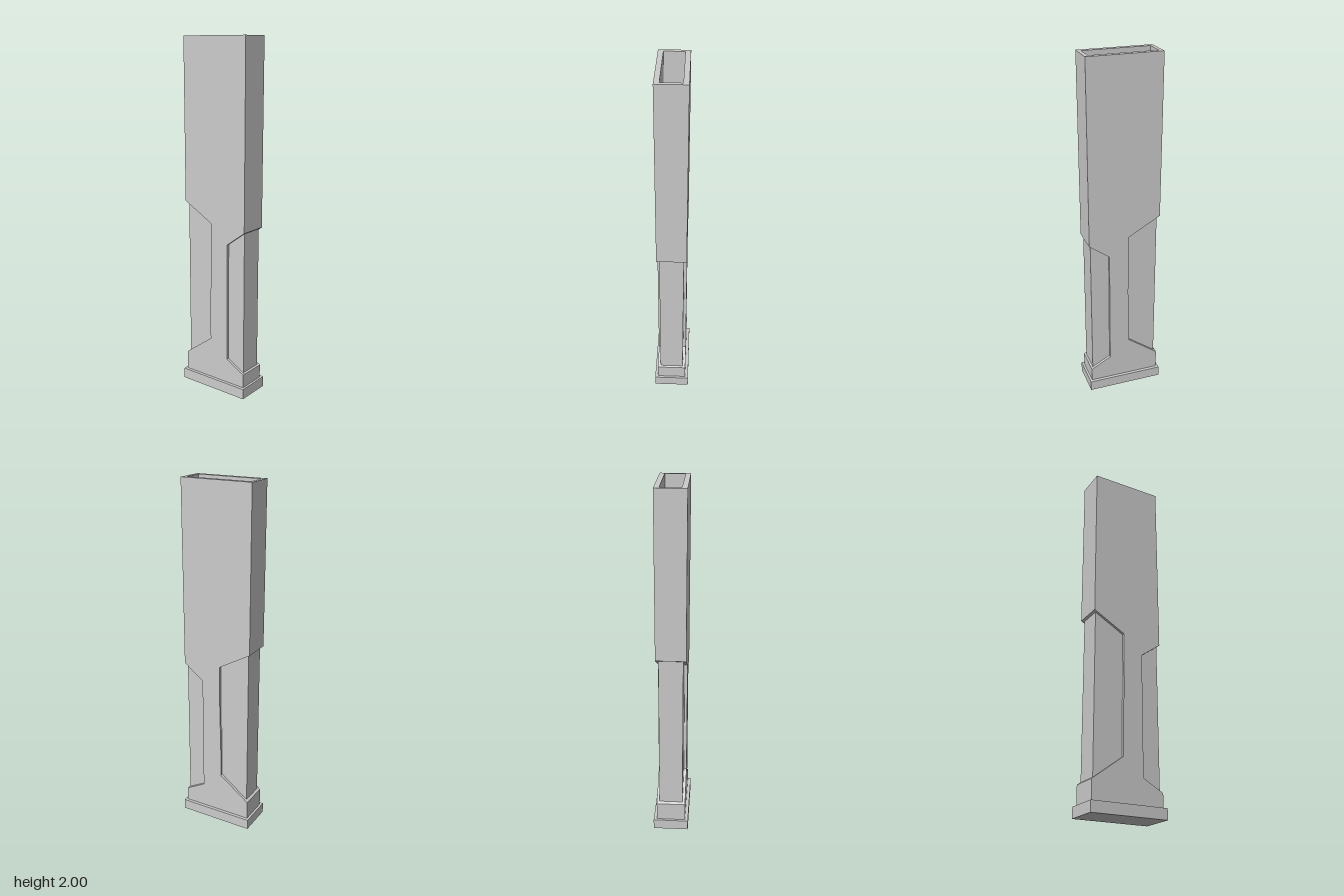
import * as THREE from 'three';

const material = new THREE.MeshStandardMaterial({ color: 0xcccccc, flatShading: true });

// Extrudes a (z, y) outline along x, from x0 to x1
function slab(name, points, x0, x1) {
  const shape = new THREE.Shape(points.map(([z, y]) => new THREE.Vector2(z, y)));
  const geometry = new THREE.ExtrudeGeometry(shape, { depth: x1 - x0, bevelEnabled: false });
  geometry.rotateY(-Math.PI / 2).translate(x1, 0, 0);
  const mesh = new THREE.Mesh(geometry, material);
  mesh.name = name;
  return mesh;
}

function rectangle(PathType, x, zBack, zFront) {
  return new PathType([[-x, -zFront], [x, -zFront], [x, -zBack], [-x, -zBack]]
    .map(([a, b]) => new THREE.Vector2(a, b)));
}

export function createModel() {
  const group = new THREE.Group();
  group.name = 'tallCase';
  const W = 0.083, coreW = 0.067, front = 0.206, back = -0.206;
  const coreFront = 0.196, coreBack = -0.193, bottom = 0.06, top = 2;

  // Foot plate
  const base = new THREE.Mesh(new THREE.BoxGeometry(0.202, bottom, 0.438), material);
  base.position.y = bottom / 2;
  base.name = 'basePlate';
  group.add(base);

  // Hollow inner tube, open at the top
  const section = rectangle(THREE.Shape, coreW, coreBack, coreFront);
  section.holes.push(rectangle(THREE.Path, 0.055, -0.185, 0.185));
  const tube = new THREE.ExtrudeGeometry(section, { depth: top - bottom, bevelEnabled: false });
  tube.rotateX(-Math.PI / 2).translate(0, bottom, 0);
  const core = new THREE.Mesh(tube, material);
  core.name = 'innerTube';
  group.add(core);

  // Side plates with a notch at the front and a deeper one at the back
  const side = [
    [back, bottom], [front, bottom], [front, 0.138], [0.09, 0.203], [0.09, 0.885],
    [front, 0.97], [front, top], [back, top], [back, 1.095], [-0.022, 0.99],
    [-0.022, 0.62], [-0.028, 0.6], [-0.028, 0.3], [back, 0.168],
  ];
  group.add(slab('leftSidePlate', side, coreW, W));
  group.add(slab('rightSidePlate', side, -W, -coreW));

  // End walls and lower lips, sloped to meet the notches
  const ends = {
    frontWall: [[coreFront, 0.963], [front, 0.97], [front, top], [coreFront, top]],
    backWall: [[back, 1.095], [coreBack, 1.088], [coreBack, top], [back, top]],
    frontLip: [[coreFront, bottom], [front, bottom], [front, 0.138], [coreFront, 0.144]],
    backLip: [[back, bottom], [coreBack, bottom], [coreBack, 0.178], [back, 0.168]],
  };
  for (const [name, points] of Object.entries(ends)) group.add(slab(name, points, -coreW, coreW));

  return group;
}
